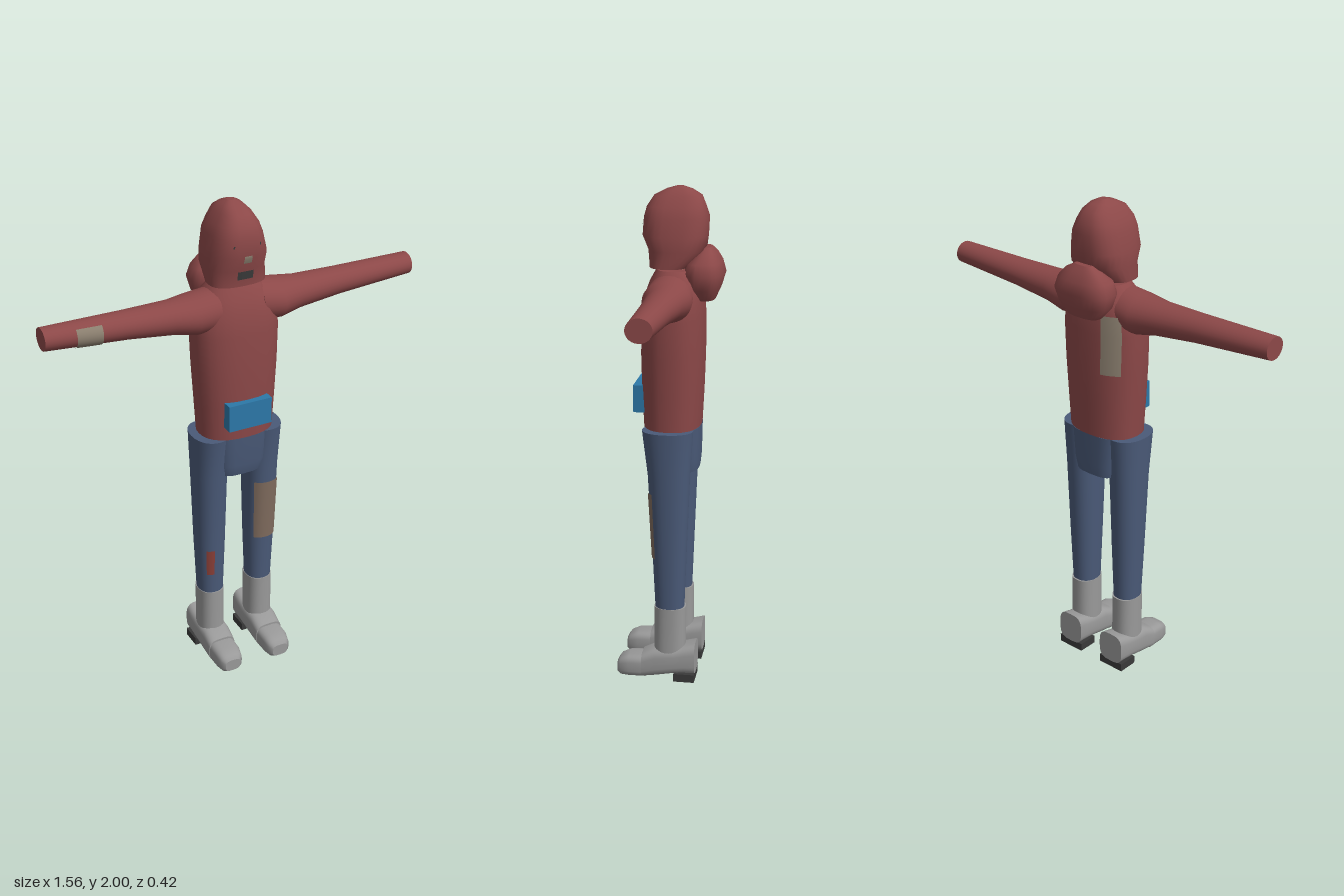
import * as THREE from 'three';

const SIDES = 28;
const material = (name, color) => {
  const m = new THREE.MeshStandardMaterial({ color });
  m.name = name;
  return m;
};

// Rounded cross-section point; ring = [t, centreA, halfA, centreB, halfB]
function sectionPoint([t, ca, ha, cb, hb], angle, power, grow = 0) {
  const c = Math.cos(angle), s = Math.sin(angle);
  const r = v => Math.sign(v) * Math.pow(Math.abs(v), power);
  return [ca + (ha + grow) * r(c), t, cb + (hb + grow) * r(s)];
}

function buildGeometry(pos, index) {
  const g = new THREE.BufferGeometry();
  g.setAttribute('position', new THREE.Float32BufferAttribute(pos, 3));
  g.setIndex(index);
  g.computeVertexNormals();
  return g;
}

// Closed skin through stacked rings, with flat end caps
function loft(rings, power = 1) {
  const pos = [], index = [];
  rings.forEach(r => {
    for (let j = 0; j < SIDES; j++) pos.push(...sectionPoint(r, j / SIDES * Math.PI * 2, power));
  });
  for (let i = 0; i < rings.length - 1; i++) {
    for (let j = 0; j < SIDES; j++) {
      const k = (j + 1) % SIDES;
      const a = i * SIDES + j, b = i * SIDES + k;
      index.push(a, a + SIDES, b, b, a + SIDES, b + SIDES);
    }
  }
  [rings[0], rings[rings.length - 1]].forEach((r, end) => {
    const base = pos.length / 3;
    pos.push(r[1], r[0], r[3]);
    for (let j = 0; j < SIDES; j++) pos.push(...sectionPoint(r, j / SIDES * Math.PI * 2, power));
    for (let j = 0; j < SIDES; j++) {
      const a = base + 1 + j, b = base + 1 + (j + 1) % SIDES;
      if (end) index.push(base, b, a); else index.push(base, a, b);
    }
  });
  return buildGeometry(pos, index);
}

// Thin patch lying just above part of a lofted skin
function patch(rings, power, t0, t1, deg0, deg1, grow = 0.004) {
  const at = t => {
    let i = 0;
    while (i < rings.length - 2 && t > rings[i + 1][0]) i++;
    const f = (t - rings[i][0]) / (rings[i + 1][0] - rings[i][0]);
    return rings[i].map((v, k) => v + (rings[i + 1][k] - v) * f);
  };
  const ts = [t0, ...rings.map(r => r[0]).filter(t => t > t0 && t < t1), t1];
  const n = 10, pos = [], index = [];
  ts.forEach((t, i) => {
    for (let j = 0; j <= n; j++) {
      const angle = THREE.MathUtils.degToRad(deg0 + (deg1 - deg0) * j / n);
      pos.push(...sectionPoint(at(t), angle, power, grow));
      if (i && j) {
        const d = i * (n + 1) + j, c = d - 1, b = d - n - 1, a = b - 1;
        index.push(a, c, b, b, c, d);
      }
    }
  });
  return buildGeometry(pos, index);
}

// Ring from front and back (or bottom and top) limits
const span = (t, ca, ha, lo, hi) => [t, ca, ha, (lo + hi) / 2, (hi - lo) / 2];

export function createModel() {
  const red = material('faded red cloth', 0x8c4848);
  const denim = material('blue denim', 0x4a5a78);
  const grey = material('grey boot', 0x999999);
  const dark = material('dark rubber', 0x3a3a3a);
  const blue = material('blue pouch', 0x2c78a8);
  const beige = material('beige patch', 0x8c8070);
  const brown = material('brown patch', 0x806c5e);
  const rust = material('rust patch', 0x8c4038);

  const model = new THREE.Group();
  const add = (name, geometry, mat, parent = model) => {
    const mesh = new THREE.Mesh(geometry, mat);
    mesh.name = name;
    parent.add(mesh);
    return mesh;
  };

  // Torso with a back patch
  const torso = [
    span(1.06, 0, 0.155, -0.118, 0.11), span(1.2, 0, 0.163, -0.125, 0.117),
    span(1.35, 0, 0.172, -0.13, 0.12), span(1.5, 0, 0.178, -0.13, 0.116),
    span(1.58, 0, 0.17, -0.125, 0.105), span(1.64, 0, 0.14, -0.115, 0.085),
    span(1.685, 0, 0.1, -0.09, 0.06)
  ];
  add('torso', loft(torso, 0.85), red);
  add('backPatch', patch(torso, 0.85, 1.34, 1.58, 218, 250), beige);
  add('beltPouch', new THREE.BoxGeometry(0.185, 0.11, 0.05), blue).position.set(-0.002, 1.175, 0.118);

  // Neck, head and face
  add('neck', new THREE.CylinderGeometry(0.055, 0.055, 0.08, 24), beige).position.set(0, 1.685, -0.005);
  const head = [
    span(1.695, 0, 0.115, -0.07, 0.085), span(1.76, 0, 0.118, -0.132, 0.09),
    span(1.815, 0, 0.117, -0.139, 0.113), span(1.885, 0, 0.102, -0.143, 0.108),
    span(1.925, 0, 0.087, -0.13, 0.097), span(1.965, 0, 0.062, -0.115, 0.07),
    span(1.988, 0, 0.04, -0.08, 0.025), span(2.0, 0, 0.015, -0.045, -0.015)
  ];
  add('head', loft(head, 0.75), red);
  add('nose', patch(head, 0.75, 1.795, 1.825, 86, 94), beige);
  add('mouth', patch(head, 0.75, 1.725, 1.757, 80, 100), dark);
  [66, 111].forEach(d => add('eye', patch(head, 0.75, 1.858, 1.868, d, d + 3), dark));

  // Folded hood behind the neck
  add('hood', loft([
    span(1.57, 0, 0.075, -0.17, -0.09), span(1.615, 0, 0.115, -0.19, -0.07),
    span(1.67, 0, 0.13, -0.207, -0.05), span(1.715, 0, 0.115, -0.195, -0.06),
    span(1.75, 0, 0.08, -0.175, -0.1), span(1.772, 0, 0.04, -0.155, -0.12)
  ], 0.75), red);

  // Hips
  add('hips', loft([
    span(0.88, 0, 0.1, -0.11, 0.086), span(0.93, 0, 0.112, -0.115, 0.1),
    span(1.06, 0, 0.125, -0.117, 0.108)
  ], 0.6), denim);

  for (const s of [1, -1]) {
    const side = s > 0 ? 'left' : 'right';

    // Arms reach straight out to the side
    const arm = [
      [0.09, 1.59, 0.085, -0.005, 0.09], [0.18, 1.583, 0.08, -0.005, 0.096],
      [0.27, 1.587, 0.066, -0.005, 0.075], [0.45, 1.596, 0.055, -0.005, 0.062],
      [0.78, 1.608, 0.044, -0.005, 0.049]
    ].map(([t, y, h, z, d]) => [t, -s * y, h, z, d]);
    add(side + 'Arm', loft(arm).rotateZ(-s * Math.PI / 2), red);
    if (s < 0) add('sleevePatch', patch(arm, 1, 0.56, 0.66, 48, 155).rotateZ(Math.PI / 2), beige);

    // Legs
    const leg = [
      span(0.31, s * 0.113, 0.053, -0.066, 0.052), span(0.55, s * 0.114, 0.062, -0.075, 0.063),
      span(0.88, s * 0.115, 0.07, -0.088, 0.081), span(1.06, s * 0.115, 0.076, -0.1, 0.103)
    ];
    add(side + 'Leg', loft(leg, 0.9), denim);
    if (s > 0) add('thighPatch', patch(leg, 0.9, 0.53, 0.805, 45, 135), brown);
    else add('shinPatch', patch(leg, 0.9, 0.41, 0.53, 97, 128), rust);

    // Boots
    const boot = new THREE.Group();
    boot.name = side + 'Boot';
    boot.position.x = s * 0.113;
    model.add(boot);
    add('shaft', loft([span(0.1, 0, 0.055, -0.073, 0.056), span(0.315, 0, 0.055, -0.073, 0.056)], 0.85), grey, boot);
    const lengthwise = rows => loft(rows.map(([z, h, lo, hi]) => span(z, 0, h, -hi, -lo)), 0.6).rotateX(Math.PI / 2);
    add('foot', lengthwise([
      [-0.115, 0.06, 0.028, 0.162], [-0.07, 0.061, 0.028, 0.15], [-0.03, 0.062, 0.025, 0.14],
      [0.05, 0.062, 0.01, 0.133], [0.105, 0.06, 0.002, 0.106]
    ]), grey, boot);
    add('toe', lengthwise([
      [0.09, 0.058, 0.002, 0.098], [0.16, 0.056, 0, 0.095], [0.195, 0.048, 0.002, 0.08], [0.208, 0.034, 0.01, 0.062]
    ]), grey, boot);
    add('heel', new THREE.BoxGeometry(0.12, 0.034, 0.085), dark, boot).position.set(0, 0.017, -0.072);
  }
  return model;
}
